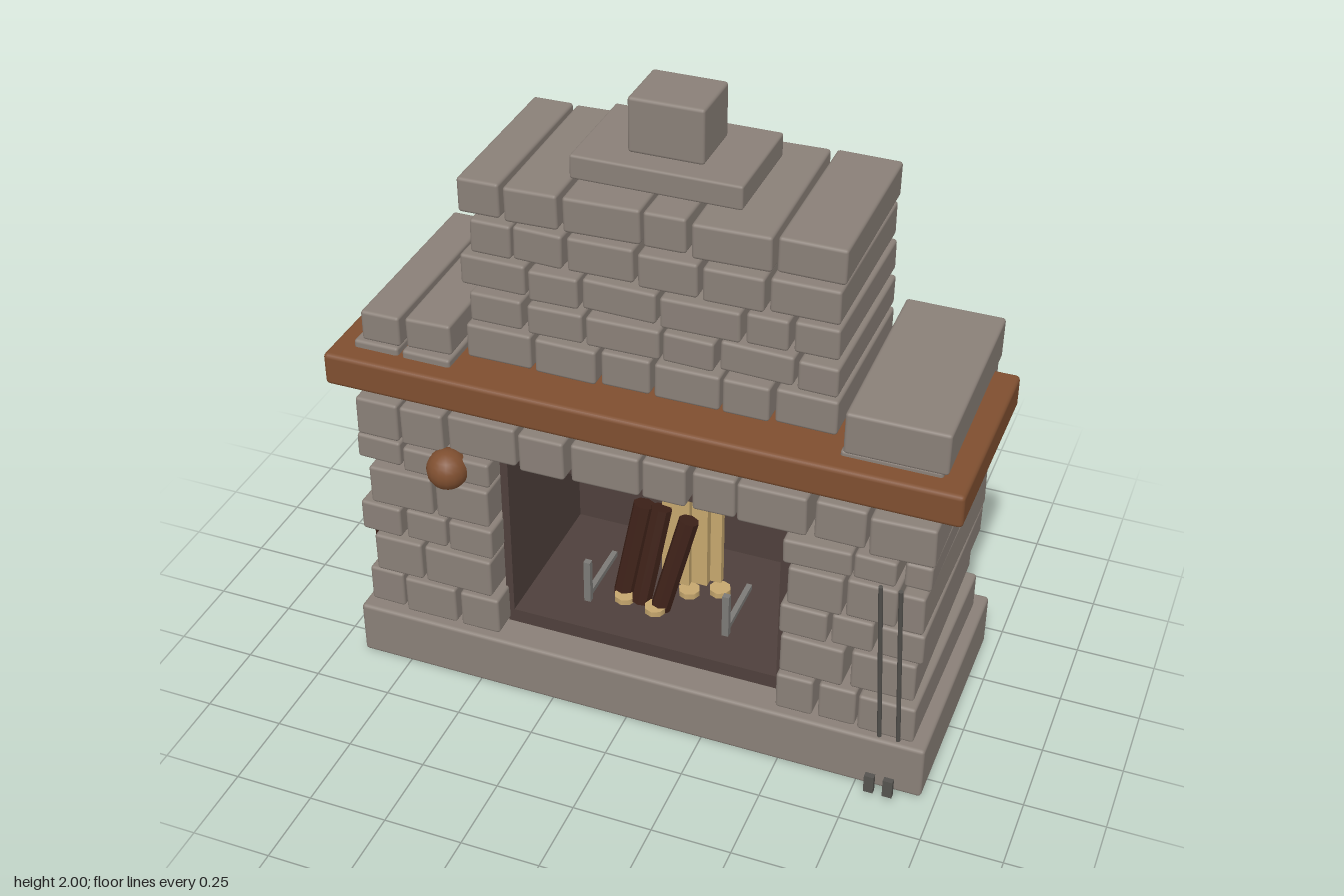
import * as THREE from 'three';
import { RoundedBoxGeometry } from 'three/addons/geometries/RoundedBoxGeometry.js';

const mat = (name, color, extra = {}) => {
  const m = new THREE.MeshStandardMaterial({ color, ...extra });
  m.name = name;
  return m;
};

export function createModel() {
  const stone = mat('stone', 0x8a8078);
  const wood = mat('oak', 0x7f4f30);
  const soot = mat('sooty brick', 0x4f403c);
  const bark = mat('bark', 0x3d2118, { flatShading: true });
  const cutWood = mat('cut wood', 0xc6a76e);
  const iron = mat('iron', 0x55534f);
  const steel = mat('steel', 0x7c7a77);

  const model = new THREE.Group();
  model.name = 'fireplace';
  const group = (name) => {
    const g = new THREE.Group();
    g.name = name;
    model.add(g);
    return g;
  };
  const add = (parent, name, geometry, material) => {
    const m = new THREE.Mesh(geometry, material);
    m.name = name;
    parent.add(m);
    return m;
  };

  // Box given by its limits; bevel 0 leaves sharp edges
  const block = (parent, name, material, [x0, x1], [y0, y1], [z0, z1], bevel = 0) => {
    const size = [x1 - x0, y1 - y0, z1 - z0];
    const g = bevel ? new RoundedBoxGeometry(...size, 2, bevel) : new THREE.BoxGeometry(...size);
    const m = add(parent, name, g, material);
    m.position.set((x0 + x1) / 2, (y0 + y1) / 2, (z0 + z1) / 2);
    return m;
  };

  // Round bar between two points
  const bar = (parent, name, material, from, to, radius, sides) => {
    const a = new THREE.Vector3(...from), b = new THREE.Vector3(...to);
    const dir = b.clone().sub(a);
    const m = add(parent, name, new THREE.CylinderGeometry(radius, radius, dir.length(), sides), material);
    m.position.copy(a).add(b).multiplyScalar(0.5);
    m.quaternion.setFromUnitVectors(new THREE.Vector3(0, 1, 0), dir.normalize());
    return m;
  };

  let seed = 7;
  const jitter = (amount) => {
    seed = (seed * 16807) % 2147483647;
    return (seed / 2147483647 * 2 - 1) * amount;
  };

  // A course of stones between successive joint positions
  const course = (parent, y, z, joints) => {
    for (let i = 0; i < joints.length - 1; i++) {
      const push = jitter(0.01);
      const s = block(parent, 'stone', stone, [joints[i] + 0.007, joints[i + 1] - 0.007], y,
        [z[0] + push, z[1] + push], 0.01);
      s.rotation.set(jitter(0.006), jitter(0.015), jitter(0.018));
    }
  };

  // Hearth slab
  block(model, 'hearth', stone, [-0.915, 0.955], [0, 0.185], [-0.44, 0.335], 0.012);

  // Side pillars: height, then joints of the right and left pillar
  const pillars = group('pillars');
  const pillarZ = [-0.375, 0.31];
  const pillarRows = [
    [[0.195, 0.325], [-0.895, -0.765, -0.575, -0.43], [0.475, 0.605, 0.735, 0.925]],
    [[0.342, 0.478], [-0.86, -0.685, -0.445], [0.485, 0.695, 0.905]],
    [[0.49, 0.597], [-0.895, -0.745, -0.595, -0.435], [0.475, 0.635, 0.775, 0.925]],
    [[0.608, 0.742], [-0.86, -0.635, -0.445], [0.495, 0.675, 0.84, 0.925]],
    [[0.757, 0.842], [-0.895, -0.735, -0.585, -0.435], [0.475, 0.695, 0.835, 0.93]],
  ];
  for (const [y, right, left] of pillarRows) {
    course(pillars, y, pillarZ, right);
    course(pillars, y, pillarZ, left);
  }

  // Lintel course over the opening
  course(group('lintel'), [0.845, 0.977], [-0.375, 0.295],
    [-0.895, -0.742, -0.587, -0.352, -0.192, 0.037, 0.187, 0.332, 0.557, 0.722, 0.93]);

  // Shoulder stones set into and above the mantel
  const shoulders = group('shoulders');
  course(shoulders, [1.045, 1.162], [-0.365, 0.26], [-0.895, -0.735, -0.565]);
  course(shoulders, [1.045, 1.155], [-0.355, 0.26], [0.62, 0.93]);
  course(shoulders, [1.18, 1.28], [-0.365, 0.275], [-0.86, -0.722, -0.563]);
  course(shoulders, [1.152, 1.288], [-0.365, 0.272], [0.625, 0.94]);

  // Chimney breast
  const breast = group('chimney breast');
  const breastRows = [
    [[1.142, 1.256], [-0.555, -0.335, -0.13, 0.035, 0.247, 0.402, 0.6]],
    [[1.274, 1.37], [-0.535, -0.357, -0.172, 0.067, 0.235, 0.467, 0.6]],
    [[1.388, 1.487], [-0.565, -0.347, -0.18, 0.058, 0.312, 0.45, 0.595]],
    [[1.505, 1.613], [-0.53, -0.39, -0.225, -0.01, 0.182, 0.375, 0.592]],
    [[1.632, 1.742], [-0.56, -0.417, -0.24, 0.005, 0.145, 0.39, 0.6]],
  ];
  for (const [y, joints] of breastRows) course(breast, y, [-0.35, 0.195], joints);

  // Chimney cap and flue
  block(model, 'chimney cap', stone, [-0.24, 0.272], [1.757, 1.832], [-0.23, 0.115], 0.008);
  block(model, 'flue', stone, [-0.095, 0.132], [1.83, 2], [-0.155, 0.04], 0.01);

  // Mantel shelf and corbels
  block(model, 'mantel', wood, [-0.96, 1], [1.03, 1.138], [-0.31, 0.335], 0.014);
  for (const x of [-0.688, 0.722])
    block(model, 'corbel', wood, [x - 0.063, x + 0.063], [0.97, 1.032], [0.06, 0.24]);

  // Firebox lining
  const box = group('firebox');
  block(box, 'back wall', soot, [-0.44, 0.48], [0.187, 0.832], [-0.34, -0.3]);
  block(box, 'floor', soot, [-0.44, 0.48], [0.187, 0.235], [-0.3, 0.23]);
  block(box, 'ceiling', soot, [-0.44, 0.48], [0.824, 0.845], [-0.3, 0.23]);
  block(box, 'right wall', soot, [-0.445, -0.42], [0.235, 0.824], [-0.3, 0.23]);
  block(box, 'left wall', soot, [0.455, 0.485], [0.235, 0.824], [-0.3, 0.23]);

  // Andirons: post with a bar running back
  for (const x of [-0.22, 0.245]) {
    const andiron = group('andiron');
    block(andiron, 'post', steel, [x - 0.011, x + 0.011], [0.235, 0.39], [0.09, 0.11]);
    block(andiron, 'bar', steel, [x - 0.009, x + 0.009], [0.25, 0.268], [-0.12, 0.09]);
  }

  // Leaning firewood
  const logs = group('firewood');
  bar(logs, 'log', bark, [-0.125, 0.24, 0.03], [-0.078, 0.565, -0.03], 0.036, 8);
  bar(logs, 'log', bark, [-0.06, 0.24, 0.05], [-0.02, 0.565, -0.03], 0.034, 8);
  bar(logs, 'log', bark, [0.01, 0.24, 0.06], [0.082, 0.565, 0.0], 0.033, 8);
  block(logs, 'split log', cutWood, [-0.028, 0.065], [0.26, 0.685], [-0.075, -0.05]);
  block(logs, 'split log', cutWood, [0.06, 0.118], [0.26, 0.585], [-0.1, -0.07]);
  block(logs, 'split log', cutWood, [0.1, 0.155], [0.26, 0.54], [-0.125, -0.1]);
  for (const [x, z] of [[-0.11, 0.06], [0, 0.08], [0.07, -0.04], [0.16, -0.08]])
    add(logs, 'wood chip', new THREE.CylinderGeometry(0.035, 0.035, 0.02, 8), cutWood).position.set(x, 0.25, z);

  // Spare log beside the pillar
  const spare = bar(model, 'spare log', bark, [-0.973, 0.125, 0.05], [-0.952, 0.45, 0.085], 0.027, 10);
  spare.scale.z = 1.35;

  // Wooden ball on the pillar
  add(model, 'wooden ball', new THREE.SphereGeometry(0.065, 16, 12), wood).position.set(-0.58, 0.8, 0.31);

  // Fire irons leaning forward, with tabs on the hearth front
  const tools = group('fire irons');
  for (const x of [0.81, 0.868]) {
    bar(tools, 'rod', iron, [x, 0.188, 0.315], [x, 0.85, 0.433], 0.007, 8);
    block(tools, 'tab', iron, [x - 0.015, x + 0.015], [0.04, 0.102], [0.39, 0.408]);
  }

  return model;
}
